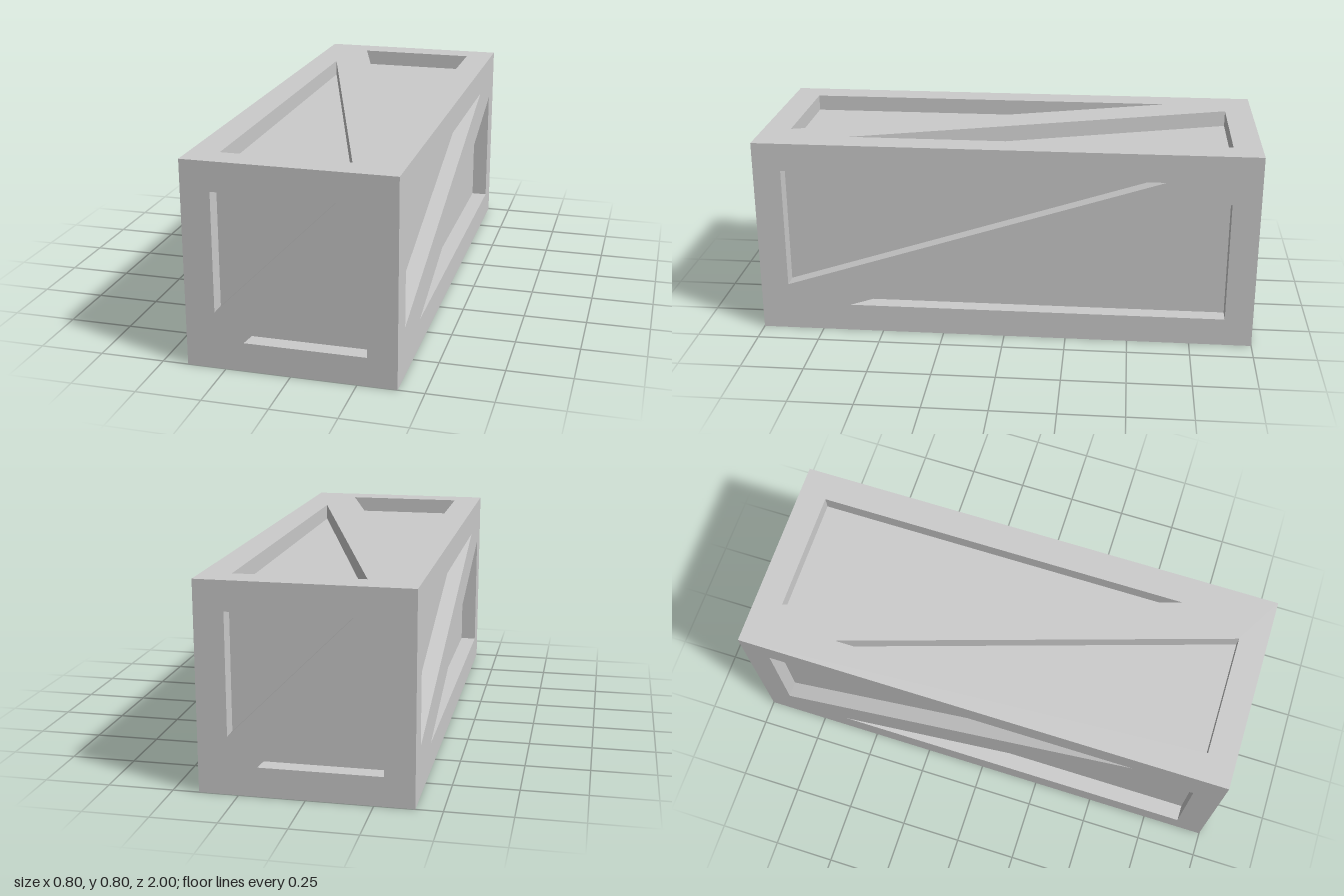
import * as THREE from 'three';

const SIZE = 0.8, LENGTH = 2, DEPTH = 0.065;

// Mitred face frame with two triangular openings either side of a diagonal brace.
// Its outer surface lies at z = 0; a, b, c and d are the extents of the openings.
function framePanel(width, height, a, b, c, d) {
  const w = width / 2, h = height / 2;
  const shape = new THREE.Shape([[-w, -h], [w, -h], [w, h], [-w, h]].map(p => new THREE.Vector2(...p)));
  for (const s of [1, -1]) {
    const corners = [[-a, b], [c, b], [-a, -d]];
    shape.holes.push(new THREE.Path(corners.map(([x, y]) => new THREE.Vector2(s * x, s * y))));
  }
  const geometry = new THREE.ExtrudeGeometry(shape, { depth: DEPTH, bevelEnabled: false });
  // Pull the inner outline in so neighbouring panels meet at 45 degrees
  const pos = geometry.attributes.position;
  for (let i = 0; i < pos.count; i++) {
    if (pos.getZ(i) > DEPTH / 2) continue;
    const x = pos.getX(i), y = pos.getY(i);
    if (Math.abs(x) > w - 1e-4) pos.setX(i, x - Math.sign(x) * DEPTH);
    if (Math.abs(y) > h - 1e-4) pos.setY(i, y - Math.sign(y) * DEPTH);
  }
  geometry.translate(0, 0, -DEPTH);
  geometry.computeVertexNormals();
  return geometry;
}

export function createModel() {
  const group = new THREE.Group();
  group.name = 'crate';
  const material = new THREE.MeshStandardMaterial({ color: 0xcccccc, flatShading: true });

  function add(name, geometry) {
    const mesh = new THREE.Mesh(geometry, material);
    mesh.name = name;
    mesh.position.y = SIZE / 2;
    group.add(mesh);
  }

  // Inner box forms the recessed floors
  add('core', new THREE.BoxGeometry(SIZE - 2 * DEPTH, SIZE - 2 * DEPTH, LENGTH - 2 * DEPTH));

  // Four long panels, turned around the length of the crate
  ['leftPanel', 'topPanel', 'rightPanel', 'bottomPanel'].forEach((name, i) => {
    const panel = framePanel(LENGTH, SIZE, 0.888, 0.287, 0.633, 0.205);
    add(name, panel.translate(0, 0, SIZE / 2).rotateY(Math.PI / 2).rotateZ(i * Math.PI / 2));
  });

  // Two square end panels
  ['frontPanel', 'backPanel'].forEach((name, i) => {
    const panel = framePanel(SIZE, SIZE, 0.287, 0.287, 0.178, 0.178);
    add(name, panel.translate(0, 0, LENGTH / 2).rotateY(i * Math.PI));
  });

  return group;
}
